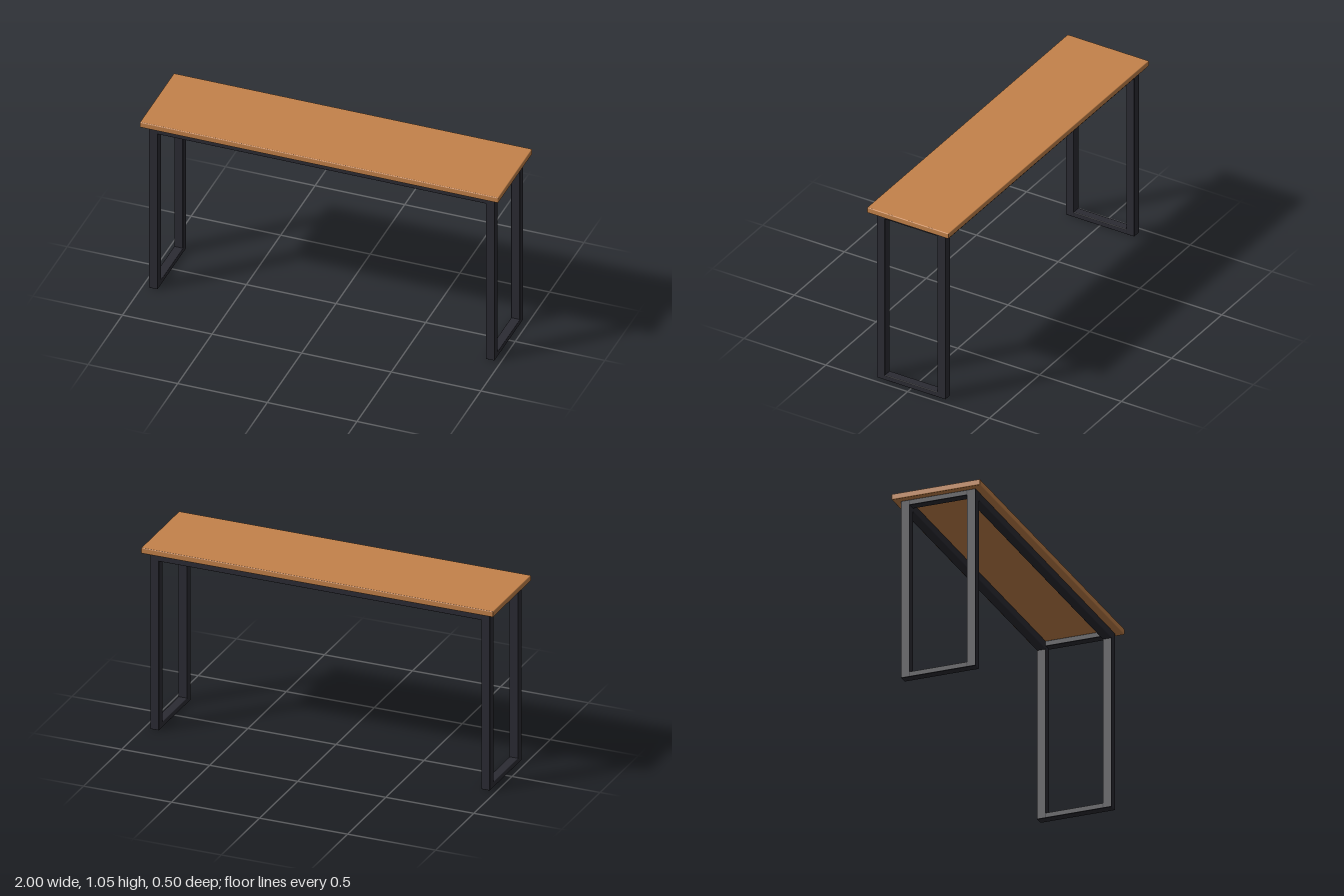
import * as THREE from 'three';
import { RoundedBoxGeometry } from 'three/addons/geometries/RoundedBoxGeometry.js';

export function createModel() {
  const wood = new THREE.MeshStandardMaterial({ color: 0xc4824a });
  wood.name = 'warm wood';
  const metal = new THREE.MeshStandardMaterial({ color: 0x2b2b33 });
  metal.name = 'dark metal';

  const table = new THREE.Group();
  table.name = 'consoleTable';

  // Softly rounded bar given by its size and centre
  const bar = (name, parent, material, [w, h, d], [x, y, z], radius = 0.004) => {
    const mesh = new THREE.Mesh(new RoundedBoxGeometry(w, h, d, 2, radius), material);
    mesh.name = name;
    mesh.position.set(x, y, z);
    parent.add(mesh);
  };

  const underside = 1.017, tube = 0.05, legX = 0.94, legZ = 0.185;

  // Table top
  bar('tableTop', table, wood, [2, 0.033, 0.498], [0, underside + 0.0165, 0], 0.005);

  // Closed rectangular leg frame at each end
  for (const side of [1, -1]) {
    const frame = new THREE.Group();
    frame.name = side > 0 ? 'leftLegFrame' : 'rightLegFrame';
    frame.position.x = side * legX;
    table.add(frame);
    for (const end of [1, -1]) {
      bar(end > 0 ? 'frontLeg' : 'backLeg', frame, metal,
        [tube, underside, tube], [0, underside / 2, end * legZ]);
    }
    const span = 2 * legZ - tube + 0.008;
    bar('footRail', frame, metal, [tube, 0.03, span], [0, 0.015, 0]);
    bar('topRail', frame, metal, [tube, 0.03, span], [0, underside - 0.015, 0]);
  }

  // Long rails under the top, joining the two frames
  for (const end of [1, -1]) {
    bar(end > 0 ? 'frontRail' : 'backRail', table, metal,
      [2 * legX - tube + 0.008, 0.047, tube], [0, underside - 0.0235, end * legZ]);
  }

  return table;
}
